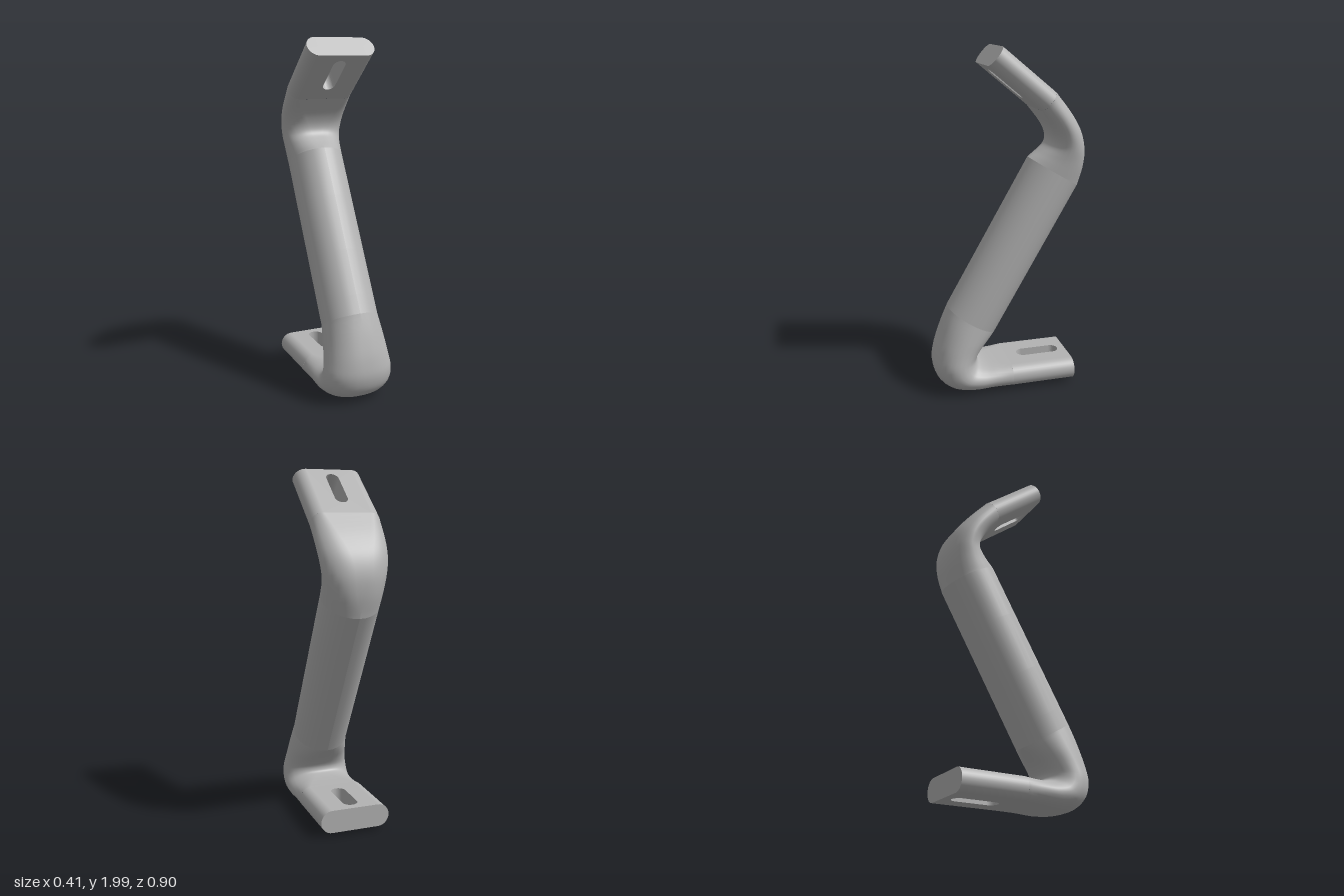
import * as THREE from 'three';

const steel = new THREE.MeshStandardMaterial({ color: 0xb3b3b3 });
steel.name = 'plain grey';

const TAB_W = 0.2, TAB_T = 0.128; // half width and thickness of the end tabs

// Lofts rounded sections; each row is [outer z, outer y, inner z, inner y, half width]
function loft(name, rows, steps, ellipse) {
  const outer = new THREE.CatmullRomCurve3(rows.map(r => new THREE.Vector3(r[4], r[1], r[0])));
  const inner = new THREE.CatmullRomCurve3(rows.map(r => new THREE.Vector3(r[4], r[3], r[2])));
  const K = 14, ring = 2 * (K + 1), pos = [], idx = [];
  for (let i = 0; i <= steps; i++) {
    const u = i / steps, o = outer.getPoint(u), n = inner.getPoint(u);
    const w = o.x, cy = (o.y + n.y) / 2, cz = (o.z + n.z) / 2;
    const ny = (o.y - n.y) / 2, nz = (o.z - n.z) / 2;
    const r = Math.min(w, Math.hypot(ny, nz)), flat = w - r;
    const mix = ellipse * Math.sin(Math.PI * u); // rounder in the middle of a bend
    for (let side = 0; side < 2; side++) {
      for (let k = 0; k <= K; k++) {
        const a = -Math.PI / 2 + Math.PI * (side + k / K);
        const stadium = (side ? -flat : flat) + r * Math.cos(a);
        const x = stadium * (1 - mix) + w * Math.cos(a) * mix;
        pos.push(x, cy + ny * Math.sin(a), cz + nz * Math.sin(a));
      }
    }
  }
  for (let i = 0; i < steps; i++) {
    for (let j = 0; j < ring; j++) {
      const a = i * ring + j, b = i * ring + (j + 1) % ring;
      idx.push(a, a + ring, b, b, a + ring, b + ring);
    }
  }
  const g = new THREE.BufferGeometry();
  g.setAttribute('position', new THREE.Float32BufferAttribute(pos, 3));
  g.setIndex(idx);
  g.computeVertexNormals();
  const mesh = new THREE.Mesh(g, steel);
  mesh.name = name;
  return mesh;
}

// Flat tab with rounded edges and a slot; local y runs from its free end inward
function tab(name, length, slotStart, slotEnd, slotR) {
  const g = new THREE.Group();
  g.name = name;
  const f = TAB_W - TAB_T / 2;
  const shape = new THREE.Shape();
  shape.moveTo(-f, 0).lineTo(f, 0).lineTo(f, length).lineTo(-f, length).closePath();
  const slot = new THREE.Path();
  slot.absarc(0, slotEnd - slotR, slotR, 0, Math.PI, false);
  slot.absarc(0, slotStart + slotR, slotR, Math.PI, 2 * Math.PI, false);
  slot.closePath();
  shape.holes.push(slot);
  const plateGeo = new THREE.ExtrudeGeometry(shape, { depth: TAB_T, bevelEnabled: false, curveSegments: 12 });
  plateGeo.translate(0, 0, -TAB_T / 2);
  const plate = new THREE.Mesh(plateGeo, steel);
  plate.name = name + 'Plate';
  g.add(plate);
  for (const s of [1, -1]) {
    const edge = new THREE.Mesh(
      new THREE.CylinderGeometry(TAB_T / 2, TAB_T / 2, length, 16, 1, false, s > 0 ? 0 : Math.PI, Math.PI), steel);
    edge.position.set(s * f, length / 2, 0);
    edge.name = name + (s > 0 ? 'LeftEdge' : 'RightEdge');
    g.add(edge);
  }
  return g;
}

export function createModel() {
  const model = new THREE.Group();
  model.name = 'slottedBracket';

  // Lower tab, lying flat and pointing backward
  const lowerTab = tab('lowerTab', 0.38, 0.045, 0.31, 0.043);
  lowerTab.position.set(0, 0.09, -0.38);
  lowerTab.rotation.x = Math.PI / 2;
  model.add(lowerTab);

  // Upper tab, sloping up toward the front
  const upperTab = tab('upperTab', 0.385, 0.045, 0.297, 0.037);
  upperTab.position.set(0, 1.95, 0.091);
  upperTab.rotation.x = Math.atan2(-0.773, -0.635);
  model.add(upperTab);

  // Bend from the lower tab into the column
  model.add(loft('lowerBend', [
    [0, 0.026, 0, 0.154, 0.2],
    [0.11, 0.016, 0.09, 0.156, 0.2],
    [0.243, 0.005, 0.15, 0.163, 0.204],
    [0.36, 0.025, 0.18, 0.175, 0.206],
    [0.425, 0.08, 0.188, 0.19, 0.206],
    [0.45, 0.16, 0.188, 0.21, 0.202],
    [0.44, 0.25, 0.165, 0.25, 0.191],
    [0.405, 0.37, 0.12, 0.3, 0.178],
    [0.354, 0.513, 0.074, 0.344, 0.163],
  ], 40, 0.8));

  // Round leaning column
  model.add(loft('column', [
    [0.354, 0.513, 0.074, 0.344, 0.163],
    [-0.138, 1.376, -0.423, 1.206, 0.163],
  ], 4, 0));

  // Bend from the upper tab into the column
  model.add(loft('upperBend', [
    [-0.248, 1.755, -0.166, 1.656, 0.2],
    [-0.36, 1.625, -0.235, 1.555, 0.198],
    [-0.42, 1.53, -0.255, 1.49, 0.191],
    [-0.448, 1.43, -0.245, 1.45, 0.181],
    [-0.448, 1.33, -0.2, 1.412, 0.171],
    [-0.423, 1.206, -0.138, 1.376, 0.163],
  ], 30, 0.6));

  return model;
}
